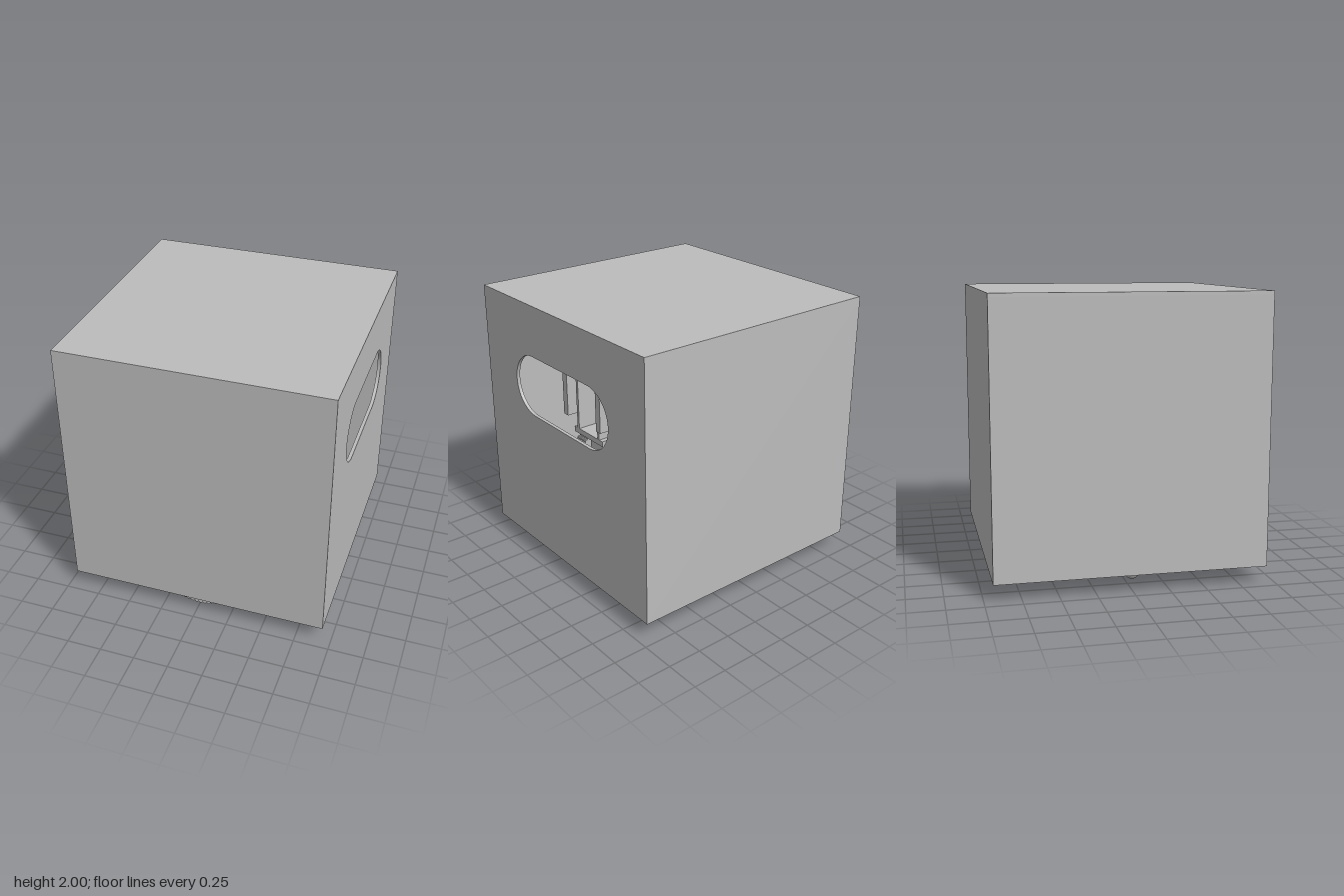
import * as THREE from 'three';

const grey = new THREE.MeshStandardMaterial({ color: 0xbcbcbc });
grey.name = 'plain grey';

export function createModel() {
  const root = new THREE.Group();
  root.name = 'cubeRobot';

  const add = (name, geometry, parent = root) => {
    const mesh = new THREE.Mesh(geometry, grey);
    mesh.name = name;
    parent.add(mesh);
    return mesh;
  };
  // box given by its limits along each axis
  const box = (name, [x0, x1], [y0, y1], [z0, z1], parent = root) => {
    const g = new THREE.BoxGeometry(x1 - x0, y1 - y0, z1 - z0);
    g.translate((x0 + x1) / 2, (y0 + y1) / 2, (z0 + z1) / 2);
    return add(name, g, parent);
  };
  const extrude = (shape, depth, curveSegments = 24) =>
    new THREE.ExtrudeGeometry(shape, { depth, bevelEnabled: false, curveSegments });

  // --- Hollow shell, open below ---
  const H = 0.94, T = 0.025, Y0 = 0.12, Y1 = 2;
  const shell = new THREE.Group();
  shell.name = 'shell';
  root.add(shell);
  box('topWall', [-H, H], [Y1 - T, Y1], [-H, H], shell);
  box('frontWall', [-H, H], [Y0, Y1 - T], [H - T, H], shell);
  box('backWall', [-H, H], [Y0, Y1 - T], [-H, -H + T], shell);
  box('rightWall', [-H, -H + T], [Y0, Y1 - T], [-H + T, H - T], shell);

  // left wall with a rounded slot
  const wall = new THREE.Shape();
  const w = H - T;
  wall.moveTo(-w, Y0).lineTo(w, Y0).lineTo(w, Y1 - T).lineTo(-w, Y1 - T).closePath();
  const slot = new THREE.Path();
  slot.absarc(0.33, 1.405, 0.224, -Math.PI / 2, Math.PI / 2, false);
  slot.absarc(-0.33, 1.405, 0.224, Math.PI / 2, Math.PI * 1.5, false);
  slot.closePath();
  wall.holes.push(slot);
  add('slottedWall', extrude(wall, T).rotateY(-Math.PI / 2).translate(H, 0, 0), shell);

  // --- Chassis plate with a flared notch ---
  const plate = new THREE.Shape();
  [[-0.615, -0.615], [0.615, -0.615], [0.615, 0.615], [-0.615, 0.615],
    [-0.615, 0.315], [-0.21, 0.145], [-0.21, -0.145], [-0.615, -0.315]]
    .forEach(([x, z], i) => (i ? plate.lineTo(x, z) : plate.moveTo(x, z)));
  plate.closePath();
  add('chassisPlate', extrude(plate, 0.035).rotateX(-Math.PI / 2).translate(0, 0.22, 0));
  box('rearBlock', [-0.45, 0.12], [0.28, 0.38], [-0.66, -0.45]);

  // --- Drive wheel ---
  const wheel = new THREE.Group();
  wheel.name = 'wheel';
  wheel.position.set(0, 0.365, 0.74);
  root.add(wheel);
  const R = 0.365, teeth = 72;
  const tread = new THREE.Shape();
  for (let i = 0; i < teeth * 4; i++) {
    const a = (i / (teeth * 4)) * Math.PI * 2;
    const r = i % 4 < 2 ? R : R - 0.009;
    if (i) tread.lineTo(r * Math.cos(a), r * Math.sin(a));
    else tread.moveTo(r, 0);
  }
  tread.closePath();
  const bore = new THREE.Path();
  bore.absarc(0, 0, 0.26, 0, Math.PI * 2, true);
  tread.holes.push(bore);
  add('treadRing', extrude(tread, 0.11), wheel);
  const disc = new THREE.CylinderGeometry(0.262, 0.262, 0.06, 48);
  add('wheelDisc', disc.rotateX(Math.PI / 2).translate(0, 0, 0.075), wheel);
  const hub = new THREE.CylinderGeometry(0.09, 0.09, 0.06, 32);
  add('hub', hub.rotateX(Math.PI / 2).translate(0, 0, 0.02), wheel);
  const axle = new THREE.CylinderGeometry(0.03, 0.03, 0.14, 20);
  add('axle', axle.rotateX(Math.PI / 2).translate(0, 0, -0.05), wheel);
  box('motor', [-0.33, 0.08], [0.28, 0.44], [0.36, 0.66]);

  // --- Ball casters and their wall brackets ---
  for (const s of [-1, 1]) {
    const ball = add('casterBall', new THREE.SphereGeometry(0.05, 24, 16));
    ball.position.set(s * 0.87, 0.128, 0);
    const x = [s * 0.82, s * 0.918].sort((a, b) => a - b);
    box('casterBracket', x, [0.135, 0.21], [-0.06, 0.06]);
  }

  // --- Mast, frame and arm behind the slot ---
  box('mast', [0.4, 0.6], [0.255, 1.1], [-0.15, 0.15]);
  box('mastHead', [0.4, 0.72], [1.06, 1.1], [-0.17, 0.17]);
  for (const s of [-1, 1]) {
    const span = (a, b) => [s * a, s * b].sort((p, q) => p - q);
    box('frameSide', [0.54, 0.77], [1.195, 1.535], span(0.17, 0.22));
    box('innerPost', [0.52, 0.72], [1.1, 1.49], span(0.11, 0.132));
    box('frameFoot', [0.54, 0.6], [1.195, 1.23], span(0.13, 0.17));
  }
  box('frameCrossbar', [0.54, 0.6], [1.49, 1.535], [-0.17, 0.17]);

  // stepped arm: upright faces alternate with undercut slopes
  const arm = new THREE.Shape();
  [[0.42, 1.1], [0.5, 1.1], [0.5, 1.22], [0.58, 1.33], [0.58, 1.44],
    [0.61, 1.49], [0.61, 1.535], [0.64, 1.56], [0.64, 1.68], [0.42, 1.68]]
    .forEach(([x, y], i) => (i ? arm.lineTo(x, y) : arm.moveTo(x, y)));
  arm.closePath();
  add('steppedArm', extrude(arm, 0.22).translate(0, 0, -0.11));

  return root;
}
